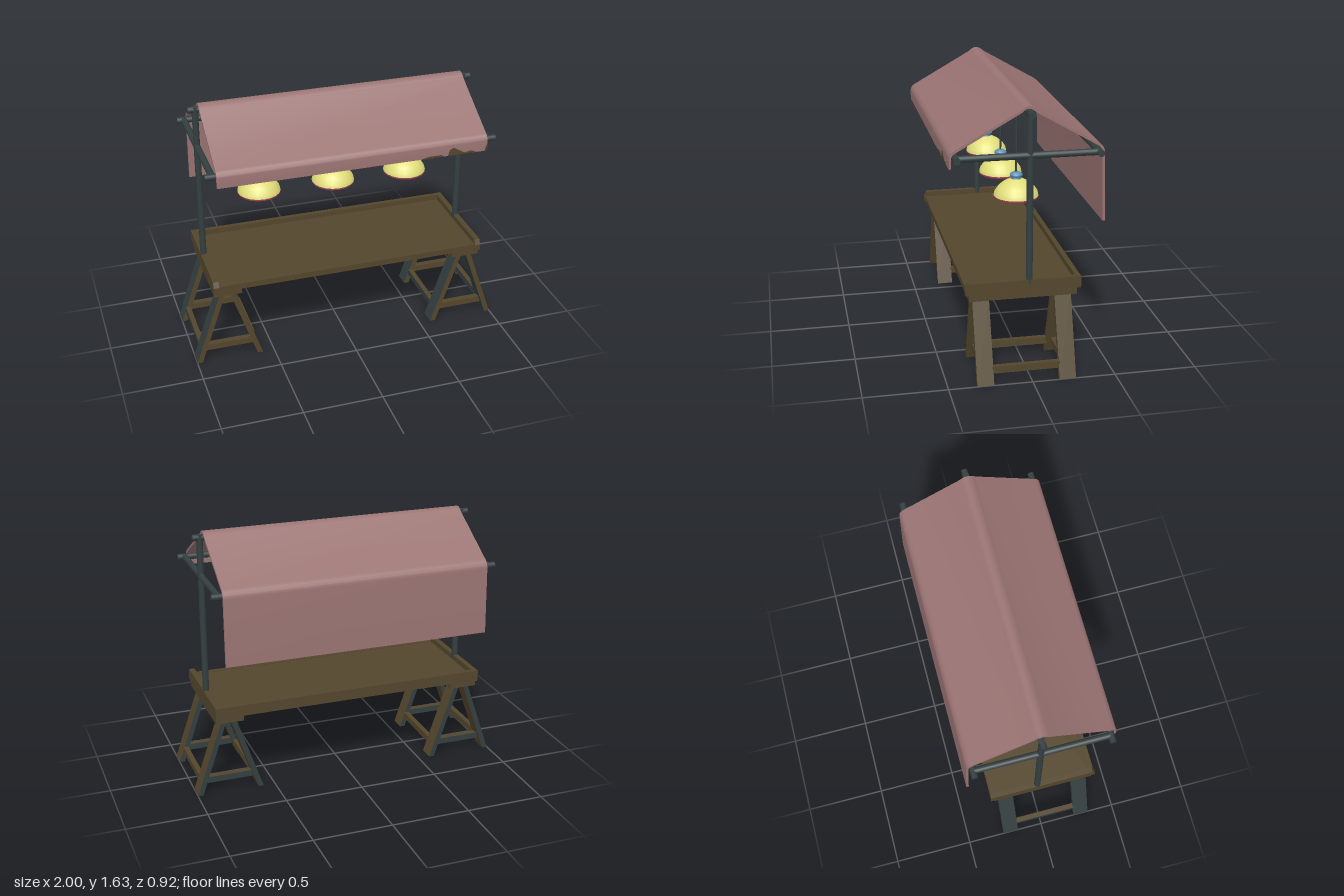
import * as THREE from 'three';
import { toCreasedNormals } from 'three/addons/utils/BufferGeometryUtils.js';

const mat = (name, color, side = THREE.FrontSide) => {
  const m = new THREE.MeshStandardMaterial({ color, side });
  m.name = name;
  return m;
};

export function createModel() {
  const wood = mat('brown wood', 0x54462d);
  const slate = mat('slate metal', 0x343f40);
  const cloth = mat('dusty rose cloth', 0x9a7473);
  const yellow = mat('lamp yellow', 0xe2de7c, THREE.DoubleSide);
  const pink = mat('rim pink', 0xb5485f, THREE.DoubleSide);
  const blue = mat('cap blue', 0x5c93b4, THREE.DoubleSide);
  // wood with slate-coloured right and back faces
  const legMats = [wood, slate, wood, wood, wood, slate];

  const model = new THREE.Group();
  model.name = 'marketStall';

  const add = (parent, name, geo, material, x = 0, y = 0, z = 0) => {
    const m = new THREE.Mesh(geo, material);
    m.name = name;
    m.position.set(x, y, z);
    parent.add(m);
    return m;
  };
  // box given by its limits
  const box = (parent, name, material, x0, x1, y0, y1, z0, z1) =>
    add(parent, name, new THREE.BoxGeometry(x1 - x0, y1 - y0, z1 - z0), material,
      (x0 + x1) / 2, (y0 + y1) / 2, (z0 + z1) / 2);
  // round bar between two points
  const bar = (parent, name, a, b, r) => {
    const p = new THREE.Vector3(...a), q = new THREE.Vector3(...b);
    const d = q.clone().sub(p);
    const m = add(parent, name, new THREE.CylinderGeometry(r, r, d.length(), 16), slate);
    m.position.copy(p).add(q).multiplyScalar(0.5);
    m.quaternion.setFromUnitVectors(new THREE.Vector3(0, 1, 0), d.normalize());
    return m;
  };
  // (z, y) outline extruded along x, centred on x
  const extrudeX = (points, width, x) => {
    const geo = new THREE.ExtrudeGeometry(new THREE.Shape(points), { depth: width, bevelEnabled: false });
    return geo.rotateY(-Math.PI / 2).translate(x + width / 2, 0, 0);
  };

  // Table tray: floor, low front board, high back board, shaped end boards
  const table = new THREE.Group();
  table.name = 'table';
  model.add(table);
  box(table, 'tableFloor', wood, -0.85, 0.85, 0.54, 0.562, -0.29, 0.345);
  box(table, 'frontBoard', wood, -0.85, 0.85, 0.528, 0.566, 0.34, 0.372);
  box(table, 'backBoard', wood, -0.85, 0.85, 0.528, 0.597, -0.312, -0.282);
  const endOutline = [[-0.313, 0.525], [0.377, 0.525], [0.377, 0.562], [0.36, 0.597], [-0.313, 0.597]]
    .map(([z, y]) => new THREE.Vector2(z, y));
  for (const s of [-1, 1]) add(table, 'endBoard', extrudeX(endOutline, 0.035, s * 0.862), wood);

  // Trestles with splayed legs and stretchers
  const legHeight = 0.487;
  const splayedLeg = (dir) => {
    const geo = new THREE.BoxGeometry(0.034, legHeight, 0.1);
    const p = geo.attributes.position;
    for (let i = 0; i < p.count; i++) {
      p.setX(i, p.getX(i) + dir * (p.getY(i) > 0 ? 0.03 : 0.196));
    }
    geo.computeVertexNormals();
    return geo;
  };
  for (const s of [-1, 1]) {
    const t = new THREE.Group();
    t.name = s > 0 ? 'leftTrestle' : 'rightTrestle';
    t.position.x = s * 0.787;
    model.add(t);
    box(t, 'trestleTop', wood, -0.088, 0.088, 0.485, 0.522, -0.29, 0.355);
    for (const z of [0.28, -0.212]) {
      for (const d of [-1, 1]) add(t, 'trestleLeg', splayedLeg(d), legMats, 0, legHeight / 2, z);
      box(t, 'crossBar', legMats, -0.165, 0.165, 0.065, 0.105, z - 0.02, z + 0.02);
    }
    for (const d of [-1, 1]) {
      box(t, 'stretcher', legMats, d * 0.168 - 0.016, d * 0.168 + 0.016, 0.062, 0.105, -0.17, 0.235);
    }
  }

  // Pole frame
  const frame = new THREE.Group();
  frame.name = 'poleFrame';
  model.add(frame);
  for (const s of [-1, 1]) {
    bar(frame, 'uprightPole', [s * 0.86, 0.57, -0.004], [s * 0.86, 1.605, -0.004], 0.02);
    bar(frame, 'crossPole', [s * 0.86, 1.345, -0.41], [s * 0.86, 1.345, 0.425], 0.02);
  }
  bar(frame, 'ridgePole', [-0.905, 1.588, -0.004], [0.905, 1.588, -0.004], 0.02);
  bar(frame, 'frontRail', [-0.905, 1.345, 0.42], [0.905, 1.345, 0.42], 0.02);
  bar(frame, 'backRail', [-0.905, 1.345, -0.408], [0.905, 1.345, -0.408], 0.02);

  // Canopy: a centre line (z, y) thickened to a sheet
  const line = new THREE.Path();
  line.moveTo(0.451, 1.283);
  line.lineTo(0.451, 1.34);
  line.quadraticCurveTo(0.451, 1.366, 0.425, 1.38);
  line.lineTo(0.045, 1.594);
  line.quadraticCurveTo(0, 1.642, -0.045, 1.594);
  line.lineTo(-0.405, 1.385);
  line.quadraticCurveTo(-0.436, 1.368, -0.437, 1.335);
  line.lineTo(-0.448, 0.92);
  const mid = line.getPoints(8);
  const half = 0.0075;
  const offset = (d) => mid.map((p, i) => {
    const a = mid[Math.max(i - 1, 0)], b = mid[Math.min(i + 1, mid.length - 1)];
    const dir = b.clone().sub(a).normalize();
    return new THREE.Vector2(p.x + dir.y * d, p.y - dir.x * d);
  });
  const sheet = extrudeX([...offset(half), ...offset(-half).reverse()], 1.684, 0);
  add(model, 'canopy', toCreasedNormals(sheet, 0.6), cloth);

  // Brown stains along the front hem
  const stains = [
    [[0.41, 1.284], [0.56, 1.284], [0.54, 1.296], [0.46, 1.295]],
    [[0.585, 1.284], [0.77, 1.284], [0.735, 1.3], [0.695, 1.291], [0.66, 1.31], [0.62, 1.334], [0.595, 1.32]],
    [[0.825, 1.284], [0.841, 1.284], [0.841, 1.33], [0.832, 1.31]],
  ];
  for (const pts of stains) {
    const shape = new THREE.Shape(pts.map(([x, y]) => new THREE.Vector2(x, y)));
    add(model, 'hemStain', new THREE.ExtrudeGeometry(shape, { depth: 0.002, bevelEnabled: false }), wood, 0, 0, 0.458);
  }

  // Hanging lamps
  const lathe = (pts) => new THREE.LatheGeometry(pts.map(([r, y]) => new THREE.Vector2(r, y)), 20);
  for (const x of [-0.485, 0, 0.483]) {
    const lamp = new THREE.Group();
    lamp.name = 'lamp';
    lamp.position.set(x, 0, -0.004);
    model.add(lamp);
    add(lamp, 'lampRim', lathe([[0.128, 0.976], [0.135, 0.979], [0.136, 0.99]]), pink);
    add(lamp, 'lampShade', lathe([[0.136, 0.99], [0.13, 1.014], [0.108, 1.045], [0.078, 1.07], [0.04, 1.09], [0.026, 1.097]]), yellow);
    add(lamp, 'lampCap', lathe([[0.034, 1.092], [0.026, 1.103], [0.038, 1.11], [0.038, 1.122], [0.02, 1.134], [0, 1.136]]), blue);
    bar(lamp, 'lampCord', [0, 1.13, 0], [0, 1.585, 0], 0.006);
  }

  return model;
}
